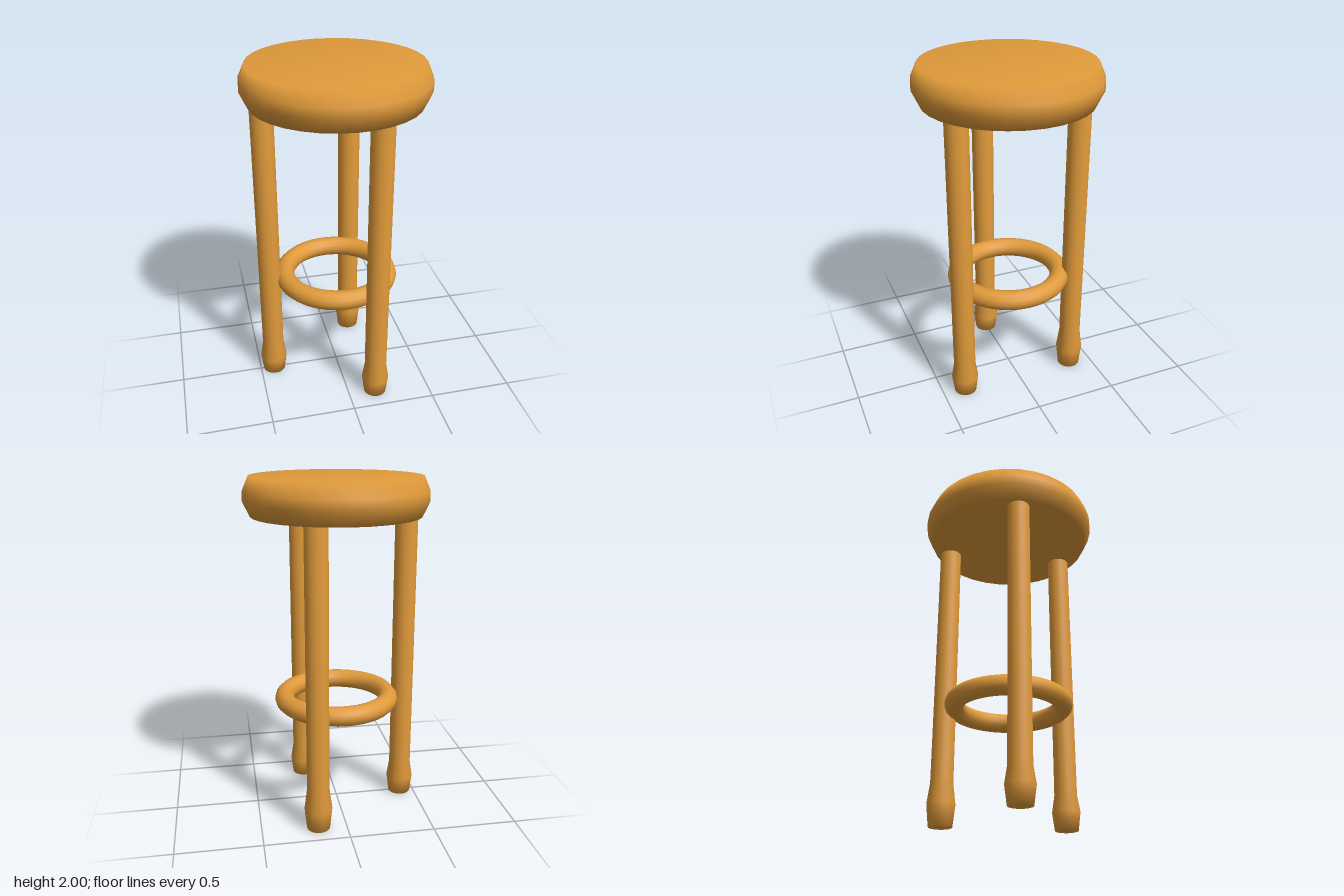
import * as THREE from 'three';

const wood = new THREE.MeshStandardMaterial();
wood.color.set(0xe09a3a);

// Solid of revolution from [radius, height] pairs, listed bottom to top
function turned(name, profile, segments) {
  const points = profile.map(([r, y]) => new THREE.Vector2(r, y));
  const mesh = new THREE.Mesh(new THREE.LatheGeometry(points, segments), wood);
  mesh.name = name;
  return mesh;
}

// Straight round leg with a bulging foot; footScale stretches the foot's height
function makeLeg(name, x, z, footScale) {
  const leg = turned(name, [
    [0, 0], [0.068, 0], [0.082, 0.105 * footScale],
    [0.066, 0.205 * footScale], [0.066, 1.79], [0, 1.79],
  ], 20);
  leg.position.set(x, 0, z);
  return leg;
}

export function createModel() {
  const stool = new THREE.Group();
  stool.name = 'stool';

  // Round seat with bevelled rim
  stool.add(turned('seat', [
    [0, 1.78], [0.487, 1.78], [0.527, 1.865],
    [0.527, 1.92], [0.492, 2], [0, 2],
  ], 32));

  // Three legs in a triangle
  stool.add(makeLeg('rightLeg', -0.413, 0, 1));
  stool.add(makeLeg('frontLeg', 0.167, 0.358, 1));
  stool.add(makeLeg('backLeg', 0.167, -0.361, 1.22));

  // Foot ring joining the legs
  const ring = new THREE.Mesh(new THREE.TorusGeometry(0.315, 0.058, 12, 48), wood);
  ring.name = 'footRing';
  ring.rotation.x = Math.PI / 2;
  ring.position.y = 0.678;
  stool.add(ring);

  return stool;
}
